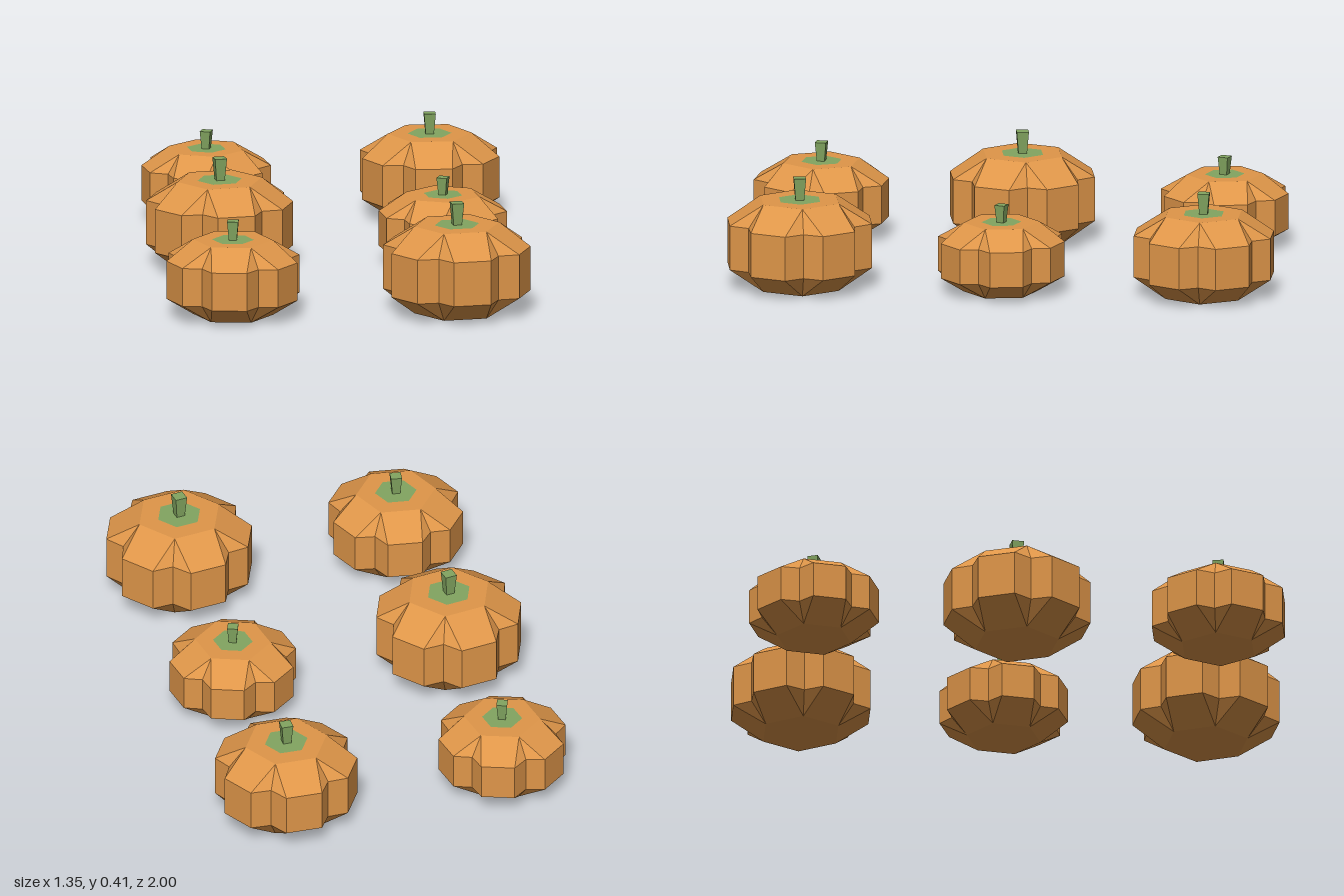
import * as THREE from 'three';

const orange = new THREE.MeshStandardMaterial({ color: 0xdf9649, flatShading: true });
orange.name = 'pumpkin orange';
const green = new THREE.MeshStandardMaterial({ color: 0x82a560, flatShading: true });
green.name = 'stem green';

// Proportions relative to the lobe radius (r) and body height (h)
const NOTCH = 0.83, RIM = 0.59, CAP = 0.31;
const LOW = 0.25, HIGH = 0.755;

// Six flat lobes separated by notches, with hexagonal top and bottom
function bodyGeometry(r, h) {
  const pos = [];
  const pt = (deg, k, y) => {
    const a = THREE.MathUtils.degToRad(deg);
    return [Math.sin(a) * r * k, y * h, Math.cos(a) * r * k];
  };
  const tri = (a, b, c) => pos.push(...a, ...b, ...c);
  const quad = (a, b, c, d) => { tri(a, b, c); tri(a, c, d); };

  for (let i = 0; i < 6; i++) {
    const a = i * 60;
    // lobe edge, lobe edge, notch, next lobe edge
    const ring = y => [pt(a - 15, 1, y), pt(a + 15, 1, y), pt(a + 30, NOTCH, y), pt(a + 45, 1, y)];
    const lo = ring(LOW), hi = ring(HIGH);
    for (let j = 0; j < 3; j++) quad(lo[j], lo[j + 1], hi[j + 1], hi[j]);

    // shoulder and flat top around the green cap
    const t0 = pt(a - 30, RIM, 1), t1 = pt(a + 30, RIM, 1);
    quad(hi[0], hi[1], t1, t0);
    tri(hi[1], hi[2], t1);
    tri(hi[2], hi[3], t1);
    quad(t0, t1, pt(a + 30, CAP, 1), pt(a - 30, CAP, 1));

    // underside
    const b0 = pt(a - 30, RIM, 0), b1 = pt(a + 30, RIM, 0);
    quad(b0, b1, lo[1], lo[0]);
    tri(b1, lo[2], lo[1]);
    tri(b1, lo[3], lo[2]);
    tri([0, 0, 0], b1, b0);
  }
  const g = new THREE.BufferGeometry();
  g.setAttribute('position', new THREE.Float32BufferAttribute(pos, 3));
  g.computeVertexNormals();
  return g;
}

function pumpkin(r, h) {
  const group = new THREE.Group();
  group.name = 'pumpkin';
  const add = (name, geometry, material, y) => {
    const mesh = new THREE.Mesh(geometry, material);
    mesh.name = name;
    mesh.position.y = y;
    group.add(mesh);
  };
  add('body', bodyGeometry(r, h), orange, 0);
  add('stemCap', new THREE.CircleGeometry(r * CAP, 6).rotateX(-Math.PI / 2), green, h);
  const stemH = h * 0.25;
  add('stem', new THREE.CylinderGeometry(r * 0.117, r * 0.082, stemH, 4).rotateY(Math.PI / 4), green, h + stemH / 2);
  return group;
}

export function createModel() {
  const model = new THREE.Group();
  model.name = 'pumpkinPatch';
  // x, z, lobe radius, height, turn in degrees
  const patch = [
    [0.405, -0.75, 0.259, 0.305, 0],
    [-0.41, -0.75, 0.236, 0.262, -19],
    [-0.41, -0.01, 0.268, 0.325, 10],
    [0.405, -0.01, 0.234, 0.257, -20],
    [-0.41, 0.725, 0.247, 0.28, -7],
    [0.407, 0.728, 0.2685, 0.325, 9],
  ];
  for (const [x, z, r, h, turn] of patch) {
    const p = pumpkin(r, h);
    p.position.set(x, 0, z);
    p.rotation.y = THREE.MathUtils.degToRad(turn);
    model.add(p);
  }
  return model;
}
